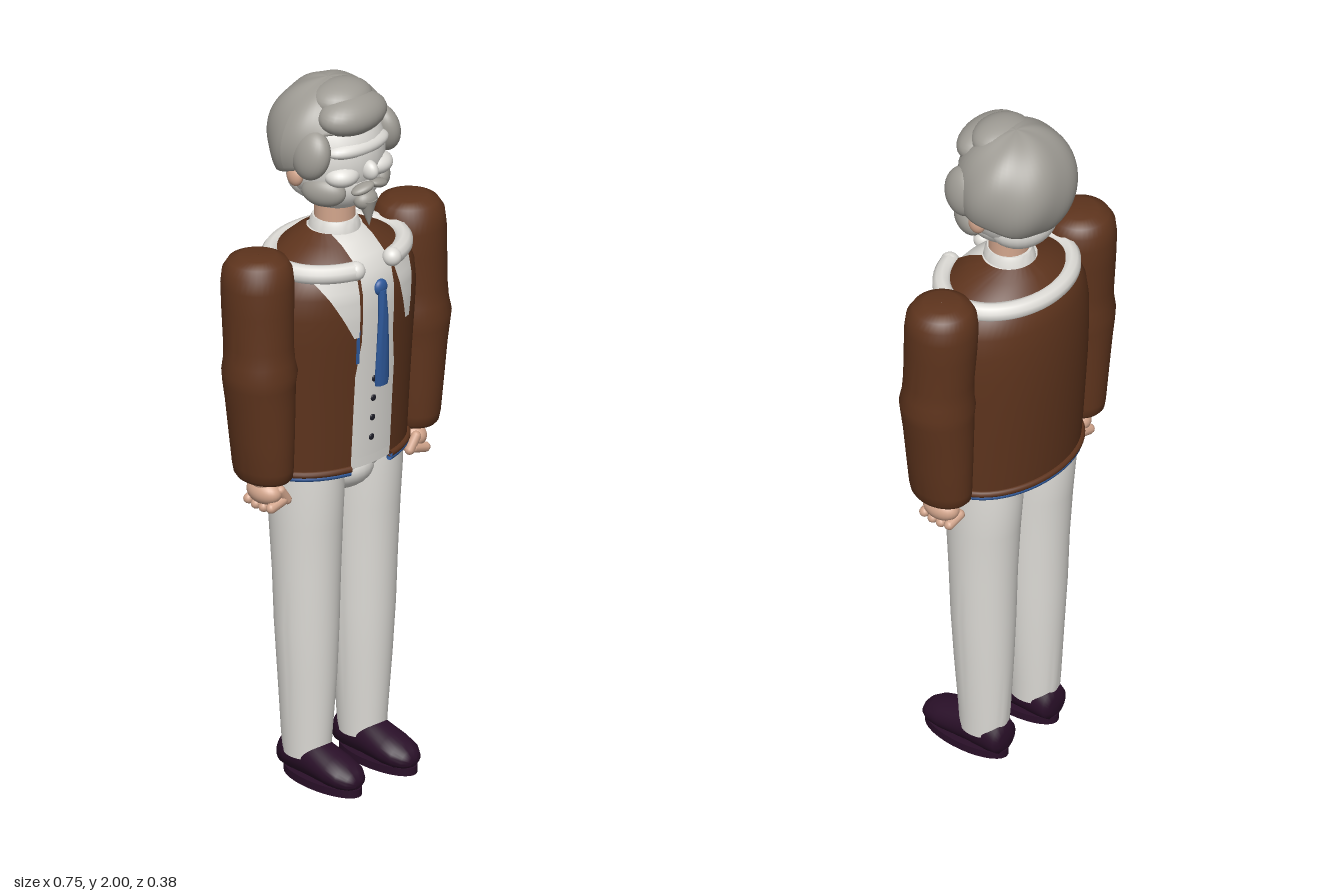
import * as THREE from 'three';
import { toCreasedNormals } from 'three/addons/utils/BufferGeometryUtils.js';

const mat = (name, color, side = THREE.FrontSide) => {
  const m = new THREE.MeshStandardMaterial({ color, side });
  m.name = name;
  return m;
};

// Stack of elliptic rows [y, rx, zFront, zBack, cx = 0, frontGap = 0], smoothly joined
function loft(rows, n = 40, crease = 0.9) {
  const pos = [], idx = [], open = rows.some(r => r[5]), cols = open ? n + 1 : n;
  rows.forEach(([y, rx, zf, zb, cx = 0, gap = 0]) => {
    const t0 = gap ? Math.asin(Math.min(1, gap / rx)) : 0;
    for (let j = 0; j < cols; j++) {
      const t = t0 + (j / n) * (2 * Math.PI - 2 * t0);
      pos.push(cx + rx * Math.sin(t), y, (zf + zb) / 2 + (zf - zb) / 2 * Math.cos(t));
    }
  });
  for (let i = 0; i < rows.length - 1; i++) for (let j = 0; j < n; j++) {
    const k = (j + 1) % cols, a = i * cols + j, b = i * cols + k, c = a + cols, d = b + cols;
    idx.push(a, b, d, a, d, c);
  }
  const g = new THREE.BufferGeometry();
  g.setAttribute('position', new THREE.Float32BufferAttribute(pos, 3));
  g.setIndex(idx);
  return toCreasedNormals(g, crease);
}

// Close both ends of a row list
const capped = rows => {
  const end = ([y, , f, b, cx]) => [y, 0.0005, (f + b) / 2 + 0.0005, (f + b) / 2 - 0.0005, cx];
  return [end(rows[0]), ...rows, end(rows[rows.length - 1])];
};

// Torso outline shared by jacket, shirt and front details
const TORSO = [
  [0.92, 0.226, 0.132, -0.163], [1.0, 0.23, 0.137, -0.17], [1.1, 0.235, 0.143, -0.177],
  [1.2, 0.24, 0.15, -0.184], [1.3, 0.244, 0.158, -0.188], [1.38, 0.246, 0.163, -0.187],
  [1.44, 0.238, 0.162, -0.182], [1.49, 0.215, 0.152, -0.172], [1.525, 0.17, 0.125, -0.148],
  [1.555, 0.115, 0.09, -0.115], [1.575, 0.075, 0.06, -0.085]];

function frontZ(x, y) {
  let i = 0;
  while (i < TORSO.length - 2 && TORSO[i + 1][0] < y) i++;
  const a = TORSO[i], b = TORSO[i + 1], t = (y - a[0]) / (b[0] - a[0]);
  const [, rx, f, k] = a.map((v, n) => v + (b[n] - v) * t);
  return (f + k) / 2 + (f - k) / 2 * Math.sqrt(Math.max(0, 1 - (x / rx) ** 2));
}

// Thin panel hugging the chest between two edges [xBottom, xTop]
function panel(left, right, y0, y1, off) {
  const g = new THREE.PlaneGeometry(1, 1, 8, 10), p = g.attributes.position;
  for (let i = 0; i < p.count; i++) {
    const u = p.getX(i) + 0.5, v = p.getY(i) + 0.5, y = y0 + (y1 - y0) * v;
    const l = left[0] + (left[1] - left[0]) * v, r = right[0] + (right[1] - right[0]) * v;
    const x = l + (r - l) * u;
    p.setXYZ(i, x, y, frontZ(x, y) + off);
  }
  g.computeVertexNormals();
  return g;
}

export function createModel() {
  const root = new THREE.Group();
  root.name = 'standingMan';
  const brown = mat('jacketBrown', 0x5e341d, THREE.DoubleSide);
  const white = mat('clothWhite', 0xdfddd8, THREE.DoubleSide);
  const grey = mat('hairGrey', 0x9f9c95, THREE.DoubleSide);
  const skin = mat('skin', 0xd3a68d);
  const blue = mat('tieBlue', 0x2f5a9c, THREE.DoubleSide);
  const plum = mat('shoePlum', 0x2a1029);
  const dark = mat('buttonDark', 0x1b1b26);

  const add = (name, geo, m, parent = root) => {
    const o = new THREE.Mesh(geo, m);
    o.name = name;
    parent.add(o);
    return o;
  };
  const ball = (name, m, p, s, rot = [0, 0, 0], parent = root) => {
    const o = add(name, new THREE.SphereGeometry(1, 28, 20), m, parent);
    o.position.set(...p);
    o.scale.set(...s);
    o.rotation.set(...rot);
    return o;
  };
  const tube = (name, pts, r, m, seg = 48) => add(name,
    new THREE.TubeGeometry(new THREE.CatmullRomCurve3(pts), seg, r, 10), m);
  // Ring around the torso, open at the front for |x| < gap
  const ring = (y, rx, f, b, gap) => {
    const t0 = Math.asin(gap / rx);
    return Array.from({ length: 33 }, (_, i) => {
      const t = t0 + (i / 32) * (2 * Math.PI - 2 * t0);
      return new THREE.Vector3(rx * Math.sin(t), y, (f + b) / 2 + (f - b) / 2 * Math.cos(t));
    });
  };

  // Shirt and open jacket
  add('shirt', loft(capped(TORSO.map(([y, rx, f, b]) => [y, rx - 0.012, f - 0.007, b + 0.012]))), white);
  add('jacket', loft(TORSO.map(([y, rx, f, b]) => [y, rx, f, b, 0, y < 1.22 ? 0.07 : 0.056]), 64), brown);
  tube('jacketHem', ring(0.926, 0.228, 0.134, -0.165, 0.07), 0.009, brown);
  tube('liningHem', ring(0.914, 0.225, 0.131, -0.162, 0.07), 0.008, blue);
  add('liningEdge', panel([-0.074, -0.076], [-0.063, -0.066], 1.24, 1.34, 0.004), blue);
  add('rightLapel', panel([-0.085, -0.175], [-0.07, -0.07], 1.32, 1.49, 0.007), white);
  add('leftLapel', panel([0.105, 0.06], [0.125, 0.145], 1.32, 1.49, 0.007), white);
  tube('collarRoll', ring(1.507, 0.195, 0.148, -0.152, 0.066), 0.026, white, 64);
  for (const s of [-1, 1])
    ball('collarEnd', white, [s * 0.066, 1.507, 0.14], [0.026, 0.026, 0.026]);
  add('waistband', panel([-0.07, -0.07], [0.07, 0.07], 0.925, 0.95, -0.001), white);
  for (let i = 0; i < 4; i++) {
    const y = 1.0 + i * 0.058;
    ball('button', dark, [0, y, frontZ(0, y) - 0.006], [0.009, 0.009, 0.004]);
  }

  // Tie
  const tieRow = (y, rx, cx) => [y, rx, frontZ(0, y) + 0.008, frontZ(0, y) - 0.012, cx];
  add('tie', loft(capped([tieRow(1.15, 0.021, 0.023), tieRow(1.165, 0.024, 0.023), tieRow(1.26, 0.021, 0.02),
    tieRow(1.36, 0.016, 0.015), tieRow(1.435, 0.012, 0.011)]), 20), blue);
  ball('tieKnot', blue, [0.011, 1.44, 0.153], [0.022, 0.023, 0.014]);

  // Neck
  add('shirtCollar', loft(capped([[1.54, 0.072, 0.062, -0.09], [1.56, 0.07, 0.062, -0.085],
    [1.59, 0.064, 0.056, -0.078], [1.602, 0.058, 0.05, -0.072]])), white);
  add('neck', new THREE.CylinderGeometry(0.055, 0.055, 0.14, 28), skin).position.set(0, 1.64, -0.01);

  // Hips
  ball('hips', white, [0, 0.915, -0.015], [0.2, 0.06, 0.115]);
  ball('crotch', white, [0, 0.89, -0.012], [0.1, 0.075, 0.115]);

  for (const s of [-1, 1]) {
    const side = s > 0 ? 'left' : 'right';
    // Trouser leg
    add(side + 'Leg', loft(capped([[0.07, 0.06, 0.058, -0.08, s * 0.1], [0.13, 0.064, 0.061, -0.085, s * 0.1],
      [0.3, 0.076, 0.073, -0.093, s * 0.1], [0.45, 0.084, 0.08, -0.1, s * 0.102],
      [0.6, 0.088, 0.085, -0.105, s * 0.103], [0.75, 0.094, 0.092, -0.115, s * 0.104],
      [0.86, 0.098, 0.1, -0.126, s * 0.105], [0.95, 0.096, 0.1, -0.12, s * 0.105]])), white);

    // Shoe, swept from heel to toe, with a flat sole
    const shoe = loft(capped([[-0.088, 0.03, -0.03, -0.08], [-0.08, 0.046, -0.012, -0.108], [-0.05, 0.053, -0.008, -0.125],
      [0.02, 0.054, -0.008, -0.122], [0.06, 0.056, -0.008, -0.11], [0.11, 0.058, -0.008, -0.095],
      [0.15, 0.052, -0.01, -0.082], [0.175, 0.036, -0.016, -0.066], [0.187, 0.016, -0.026, -0.05]]), 28, 1.2);
    shoe.rotateX(Math.PI / 2);
    add(side + 'Shoe', shoe, plum).position.x = s * 0.1;
    const sole = new THREE.CylinderGeometry(1, 1, 0.022, 32);
    const soleMesh = add(side + 'Sole', sole, plum);
    soleMesh.scale.set(0.058, 1, 0.138);
    soleMesh.position.set(s * 0.1, 0.011, 0.05);

    // Sleeve with an elbow fold
    const arm = [[0.925, 0.062, 0.075, -0.085, 0.264], [0.935, 0.068, 0.084, -0.094, 0.264],
      [0.96, 0.071, 0.088, -0.097, 0.266], [1.05, 0.08, 0.091, -0.1, 0.27], [1.15, 0.088, 0.094, -0.104, 0.275],
      [1.205, 0.094, 0.096, -0.106, 0.279], [1.24, 0.099, 0.1, -0.108, 0.278], [1.275, 0.093, 0.092, -0.104, 0.278],
      [1.32, 0.091, 0.088, -0.105, 0.278], [1.42, 0.095, 0.086, -0.112, 0.276], [1.49, 0.097, 0.084, -0.115, 0.275],
      [1.53, 0.093, 0.078, -0.11, 0.275], [1.555, 0.078, 0.062, -0.095, 0.274], [1.568, 0.05, 0.035, -0.065, 0.273]];
    add(side + 'Sleeve', loft(capped(arm.map(r => [...r.slice(0, 4), s * r[4]])), 40, 1.2), brown);

    // Fist
    const hand = new THREE.Group();
    hand.name = side + 'Hand';
    hand.position.set(s * 0.258, 0, -0.003);
    root.add(hand);
    ball('wrist', skin, [s * 0.004, 0.92, 0], [0.036, 0.035, 0.038], undefined, hand);
    ball('palm', skin, [s * 0.004, 0.882, 0], [0.038, 0.036, 0.056], undefined, hand);
    for (let i = 0; i < 4; i++) {
      const f = add('finger', new THREE.CapsuleGeometry(0.0145, 0.042, 4, 10), skin, hand);
      f.rotation.z = Math.PI / 2 - s * 0.25;
      f.position.set(0, 0.853 + (i % 3 ? -0.003 : 0.002), -0.043 + i * 0.029);
    }
    const thumb = add('thumb', new THREE.CapsuleGeometry(0.014, 0.04, 4, 10), skin, hand);
    thumb.position.set(-s * 0.024, 0.875, 0.044);
    thumb.rotation.z = -s * 0.6;
  }

  // Head and pale face
  const head = new THREE.Group();
  head.name = 'head';
  root.add(head);
  const onHead = (name, m, p, s, rot) => ball(name, m, p, s, rot, head);
  onHead('skull', white, [0, 1.8, -0.015], [0.138, 0.16, 0.138]);
  onHead('jaw', white, [0, 1.725, 0.0], [0.115, 0.09, 0.115]);
  onHead('nape', white, [0, 1.715, -0.055], [0.105, 0.075, 0.09]);
  onHead('brow', white, [0, 1.835, 0.075], [0.105, 0.03, 0.05]);
  onHead('nose', white, [0, 1.775, 0.122], [0.02, 0.028, 0.03]);
  for (const s of [-1, 1]) {
    onHead('cheek', white, [s * 0.06, 1.765, 0.08], [0.05, 0.032, 0.046]);
    onHead('ear', skin, [s * 0.137, 1.755, -0.018], [0.018, 0.03, 0.026]);
    onHead('sideWhisker', grey, [s * 0.095, 1.717, 0.048], [0.034, 0.042, 0.062], [0, -s * 0.45, 0]);
    onHead('moustache', grey, [s * 0.028, 1.731, 0.127], [0.034, 0.013, 0.021], [0, s * 0.3, -s * 0.3]);
    onHead('sideLock', grey, [s * 0.128, 1.83, 0.035], [0.04, 0.07, 0.06], [0.15, 0, s * 0.2]);
  }
  onHead('chinBeard', grey, [0, 1.685, 0.108], [0.036, 0.028, 0.028]);
  const tip = add('beardTip', new THREE.ConeGeometry(0.027, 0.075, 20), grey, head);
  tip.position.set(0, 1.648, 0.118);
  tip.rotation.x = Math.PI - 0.1;

  // Hair shell: high at the brow, low at the nape, lower rim tucked in
  const hair = new THREE.SphereGeometry(1, 56, 36), p = hair.attributes.position, v = new THREE.Vector3();
  for (let i = 0; i < p.count; i++) {
    v.fromBufferAttribute(p, i);
    const t = Math.acos(THREE.MathUtils.clamp(v.y, -1, 1)) / Math.PI;
    const az = Math.atan2(v.x, v.z), front = THREE.MathUtils.smoothstep(Math.cos(az), 0.3, 0.75);
    const limit = THREE.MathUtils.lerp(1.98 - 0.33 * Math.cos(az), 1.2, front);
    const a = Math.min(t / 0.85, 1) * limit, inward = 1 - 0.3 * Math.max(0, (t - 0.85) / 0.15);
    const k = inward * (1 + 0.02 * Math.sin(a) * Math.sin(az * 6 + a * 3));
    p.setXYZ(i, 0.17 * k * Math.sin(a) * Math.sin(az), 1.83 + 0.165 * k * Math.cos(a),
      -0.035 + 0.155 * k * Math.sin(a) * Math.cos(az));
  }
  hair.computeVertexNormals();
  add('hair', hair, grey, head);
  onHead('forelock', grey, [-0.005, 1.922, 0.062], [0.108, 0.055, 0.07], [0.1, 0, 0]);
  onHead('crownWave', grey, [0, 1.952, 0.015], [0.09, 0.048, 0.075]);
  return root;
}
